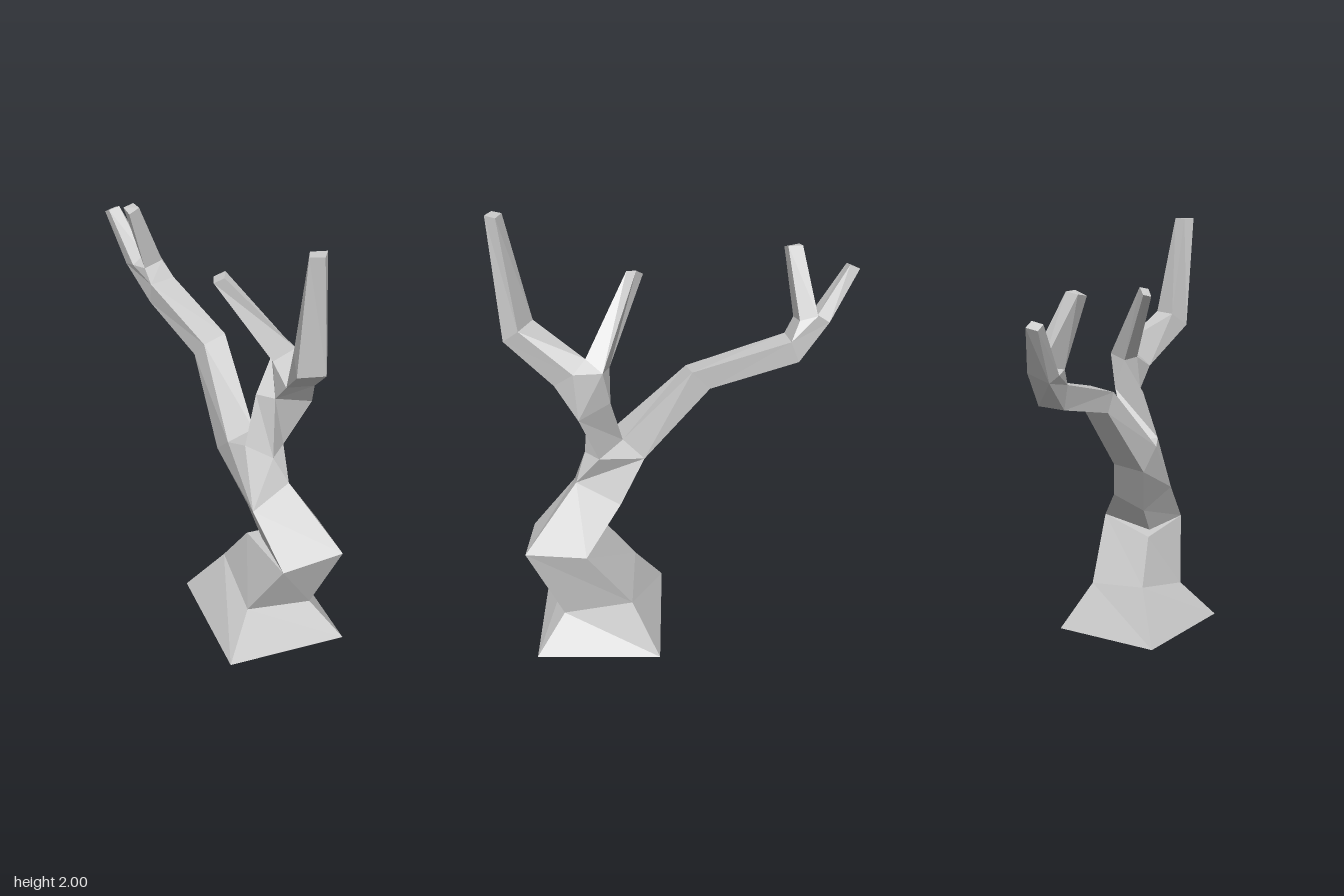
import * as THREE from 'three';

const material = new THREE.MeshStandardMaterial({ color: 0xcccccc, flatShading: true });

// Faces are lists of 3 or 4 corners, counter-clockwise from outside.
function facesToMesh(name, faces) {
  const pos = [];
  for (const f of faces) {
    for (let i = 1; i < f.length - 1; i++) pos.push(...f[0], ...f[i], ...f[i + 1]);
  }
  const geo = new THREE.BufferGeometry();
  geo.setAttribute('position', new THREE.Float32BufferAttribute(pos, 3));
  geo.computeVertexNormals();
  const mesh = new THREE.Mesh(geo, material);
  mesh.name = name;
  return mesh;
}

// Four-sided limb through a list of rings; each ring runs left, front, right, back.
function limb(name, rings, { capStart = false, capEnd = false } = {}) {
  const faces = [];
  for (let k = 0; k < rings.length - 1; k++) {
    const a = rings[k], b = rings[k + 1];
    for (let i = 0; i < 4; i++) {
      const j = (i + 1) % 4;
      faces.push([a[j], b[j], b[i], a[i]]);
    }
  }
  if (capStart) faces.push([...rings[0]].reverse());
  if (capEnd) faces.push(rings[rings.length - 1]);
  return facesToMesh(name, faces);
}

// Joins one ring to two branch rings that share the crotch point (l[2] = r[0]).
function fork(name, [L, F, R, B], l, r) {
  const crotch = l[2];
  return facesToMesh(name, [
    [F, l[1], l[0], L],
    [F, r[1], l[1]],
    [l[1], r[1], crotch],
    [F, R, r[2], r[1]],
    [R, r[3], r[2]],
    [R, B, l[3], r[3]],
    [l[3], crotch, r[3]],
    [B, L, l[0], l[3]],
  ]);
}

export function createModel() {
  const group = new THREE.Group();
  group.name = 'bareTree';

  // Trunk: flared foot, leaning block, small ledge, then the upper trunk
  const foot = [[0.03, 0.04, 0.14], [0.54, 0.03, 0.37], [0.77, 0, -0.14], [0.26, 0, -0.37]];
  const ankle = [[0.20, 0.28, 0.06], [0.48, 0.21, 0.20], [0.61, 0.16, -0.08], [0.33, 0.23, -0.22]];
  const knee = [[0.34, 0.49, 0.06], [0.65, 0.51, 0.17], [0.77, 0.54, -0.08], [0.53, 0.53, -0.20]];
  const ledge = [[0.42, 0.50, 0.05], knee[1], knee[2], knee[3]];
  const waist = [[0.32, 0.63, 0.04], [0.45, 0.72, 0.15], [0.50, 0.81, -0.02], [0.33, 0.70, -0.11]];
  group.add(limb('trunk', [foot, ankle, knee, ledge, waist], { capStart: true }));

  // Main fork
  const crotch = [0.28, 0.98, -0.03];
  const boughRoot = [[0.16, 0.87, 0.07], [0.26, 0.97, 0.11], crotch, [0.20, 0.89, -0.08]];
  const neckRoot = [crotch, [0.35, 0.99, 0.10], [0.44, 0.93, 0.02], [0.41, 0.94, -0.08]];
  group.add(fork('mainFork', waist, boughRoot, neckRoot));

  // Long side bough
  const boughBend = [[-0.09, 1.20, -0.04], [-0.02, 1.28, -0.03], [0, 1.30, -0.14], [-0.08, 1.21, -0.15]];
  const boughEnd = [[-0.47, 1.29, -0.13], [-0.45, 1.39, -0.12], [-0.42, 1.40, -0.235], [-0.46, 1.30, -0.24]];
  group.add(limb('sideBough', [boughRoot, boughBend, boughEnd]));

  // Fork and twigs at the end of the bough
  const boughCrotch = [-0.57, 1.48, -0.19];
  const outerRoot = [[-0.64, 1.43, -0.14], [-0.57, 1.45, -0.12], boughCrotch, [-0.60, 1.46, -0.24]];
  const innerRoot = [boughCrotch, [-0.49, 1.46, -0.12], [-0.47, 1.48, -0.21], [-0.54, 1.50, -0.24]];
  const outerTip = [[-0.775, 1.65, -0.14], [-0.735, 1.67, -0.13], [-0.72, 1.68, -0.18], [-0.765, 1.66, -0.19]];
  const innerTip = [[-0.54, 1.76, -0.05], [-0.48, 1.75, -0.03], [-0.47, 1.77, -0.08], [-0.53, 1.77, -0.10]];
  group.add(fork('boughFork', boughEnd, outerRoot, innerRoot));
  group.add(limb('outerTwig', [outerRoot, outerTip], { capEnd: true }));
  group.add(limb('innerTwig', [innerRoot, innerTip], { capEnd: true }));

  // Upright neck
  const neckTop = [[0.34, 1.21, 0.03], [0.42, 1.21, 0], [0.51, 1.18, -0.13], [0.36, 1.22, -0.11]];
  // The neck twists a quarter side, so its lower ring starts one corner on
  const neckStart = [neckRoot[1], neckRoot[2], neckRoot[3], neckRoot[0]];
  group.add(limb('uprightNeck', [neckStart, neckTop]));

  // Upper fork with a slim twig and a tall bent twig
  const topCrotch = [0.45, 1.43, -0.08];
  const slimRoot = [[0.34, 1.36, -0.06], [0.39, 1.37, -0.01], topCrotch, [0.40, 1.38, -0.14]];
  const tallRoot = [topCrotch, [0.50, 1.31, 0.03], [0.58, 1.32, -0.05], [0.52, 1.39, -0.12]];
  const slimTip = [[0.13, 1.69, 0.07], [0.16, 1.68, 0.10], [0.20, 1.71, 0.08], [0.17, 1.72, 0.045]];
  const tallBend = [[0.60, 1.55, 0.12], [0.67, 1.49, 0.18], [0.74, 1.49, 0.09], [0.69, 1.55, 0.03]];
  const tallTip = [[0.68, 2, 0.16], [0.71, 2, 0.20], [0.75, 2, 0.16], [0.72, 2, 0.11]];
  group.add(fork('upperFork', neckTop, slimRoot, tallRoot));
  group.add(limb('slimTwig', [slimRoot, slimTip], { capEnd: true }));
  group.add(limb('tallTwig', [tallRoot, tallBend, tallTip], { capEnd: true }));

  return group;
}
